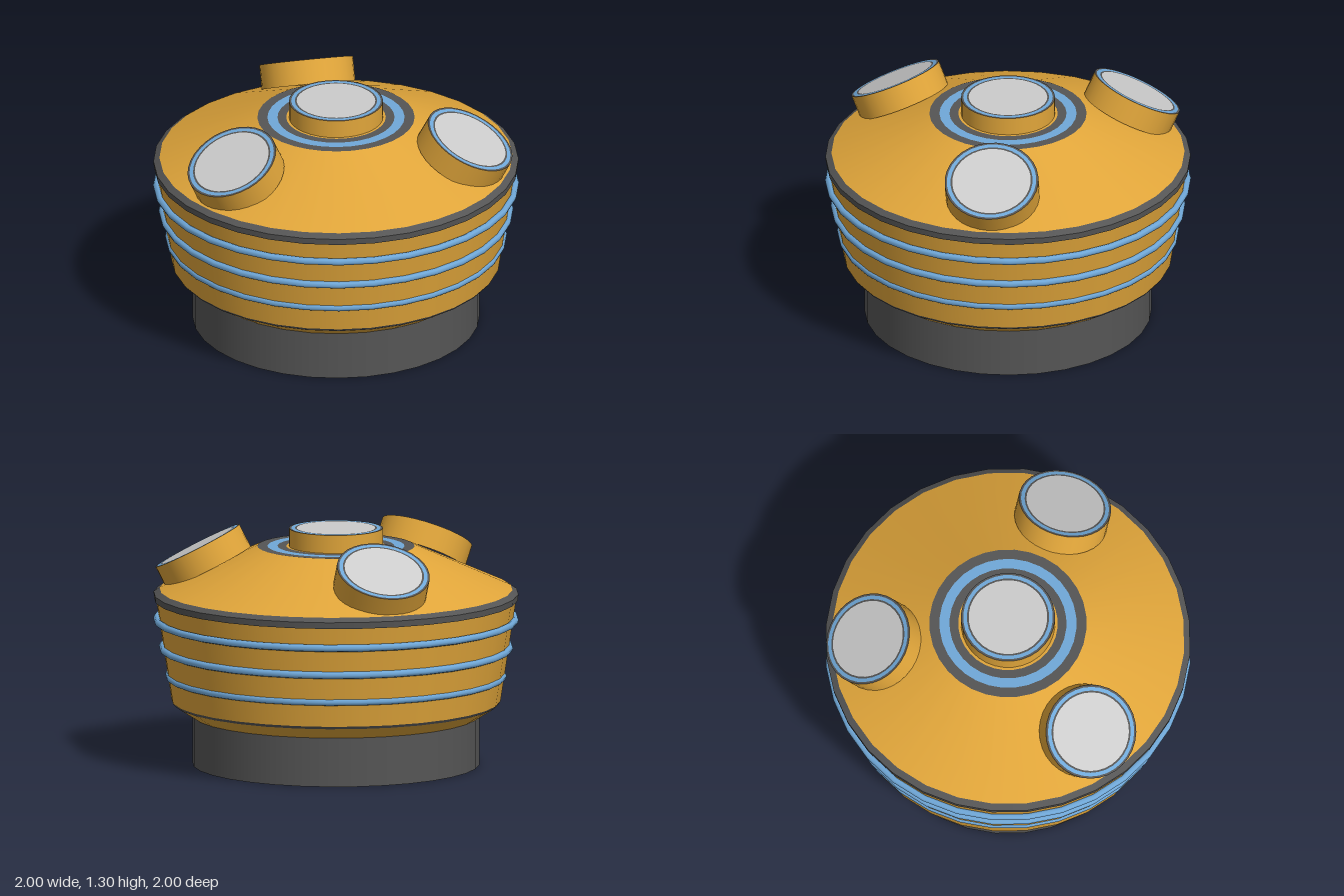
import * as THREE from 'three';

const material = (color) => new THREE.MeshStandardMaterial({ color });
const orange = material(0xe0a53a);
const dark = material(0x555555);
const blue = material(0x70a8d8);
const grey = material(0xcccccc);
const SIDES = 32;

// One revolved band; points run up the outside, then inward over the top
function band(parent, name, mat, ...points) {
  const profile = points.map(([r, y]) => new THREE.Vector2(r, y));
  const mesh = new THREE.Mesh(new THREE.LatheGeometry(profile, SIDES), mat);
  mesh.name = name;
  parent.add(mesh);
  return mesh;
}

// Short round port with a ringed rim and a grey lens; its origin is the rim centre
function makePort(name, depth) {
  const port = new THREE.Group();
  port.name = name;
  band(port, 'portWall', orange, [0.257, -depth], [0.257, 0]);
  band(port, 'portOuterEdge', dark, [0.257, 0], [0.245, 0]);
  band(port, 'portRing', blue, [0.245, 0], [0.225, 0]);
  band(port, 'portInnerEdge', dark, [0.225, 0], [0.215, 0]);
  band(port, 'portLens', grey, [0.215, 0], [0, 0]);
  return port;
}

export function createModel() {
  const model = new THREE.Group();
  model.name = 'portedDome';

  // Plinth
  band(model, 'baseUnderside', dark, [0, 0], [0.785, 0]);
  band(model, 'baseWall', dark, [0.785, 0], [0.785, 0.27]);

  // Flared body
  band(model, 'bodyChamfer', orange, [0.785, 0.27], [0.89, 0.337]);
  band(model, 'lowerSeam', dark, [0.89, 0.337], [0.9, 0.352]);
  band(model, 'bodyWall', orange, [0.9, 0.352], [0.985, 0.91]);
  band(model, 'upperBandUnderside', dark, [0.985, 0.91], [0.995, 0.91]);
  band(model, 'upperBand', dark, [0.995, 0.91], [0.998, 0.945]);
  band(model, 'upperBandBevel', dark, [0.998, 0.945], [0.965, 0.967]);

  // Sloping roof and concentric inlays on its flat top
  band(model, 'roof', orange, [0.965, 0.967], [0.43, 1.205]);
  band(model, 'topOuterInlay', dark, [0.43, 1.205], [0.375, 1.205]);
  band(model, 'topBlueInlay', blue, [0.375, 1.205], [0.32, 1.205]);
  band(model, 'topInnerInlay', dark, [0.32, 1.205], [0.272, 1.205]);
  band(model, 'topCentre', orange, [0.272, 1.205], [0.24, 1.205]);

  // Raised hoops around the body
  for (const [radius, y] of [[0.98, 0.8], [0.949, 0.645], [0.914, 0.49]]) {
    const hoop = new THREE.Mesh(new THREE.TorusGeometry(radius, 0.02, 8, SIDES), blue);
    hoop.name = 'bodyHoop';
    hoop.rotation.x = Math.PI / 2;
    hoop.position.y = y;
    model.add(hoop);
  }

  // Upright port in the middle
  const centrePort = makePort('centrePort', 0.1);
  centrePort.position.y = 1.305;
  model.add(centrePort);

  // Three ports leaning outward, one at the back
  for (let i = 0; i < 3; i++) {
    const port = makePort('tiltedPort', 0.135);
    port.position.set(0, 1.184, 0.77);
    port.rotation.x = THREE.MathUtils.degToRad(27.5);
    const arm = new THREE.Group();
    arm.name = ['backPort', 'rightPort', 'leftPort'][i];
    arm.rotation.y = Math.PI + (i * Math.PI * 2) / 3;
    arm.add(port);
    model.add(arm);
  }

  return model;
}
